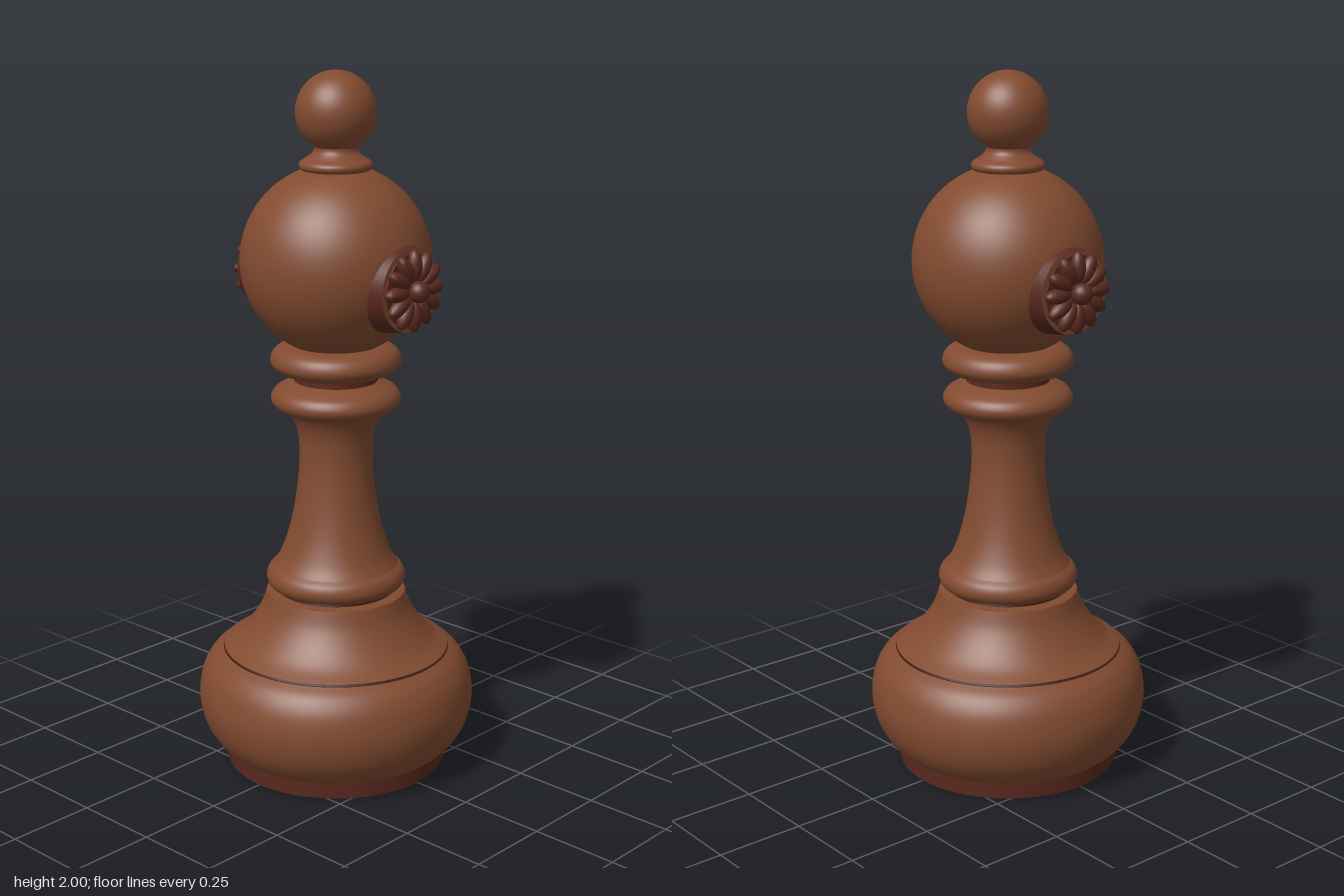
import * as THREE from 'three';

const mat = (name, color) => {
  const m = new THREE.MeshStandardMaterial({ color });
  m.name = name;
  return m;
};

export function createModel() {
  const wood = mat('brown wood', 0x824b30);
  const dark = mat('dark red wood', 0x59291e);
  const groove = mat('groove brown', 0x3c1c12);
  const group = new THREE.Group();

  const add = (parent, name, geometry, material) => {
    const mesh = new THREE.Mesh(geometry, material);
    mesh.name = name;
    parent.add(mesh);
    return mesh;
  };
  // Turned part: points are [radius, height], smoothed by a spline if asked
  const turned = (name, pts, material, smooth = true) => {
    let p = pts.map(([x, y]) => new THREE.Vector2(x, y));
    if (smooth) p = new THREE.SplineCurve(p).getPoints(pts.length * 5);
    p.forEach(v => { v.x = Math.max(v.x, 0); });
    return add(group, name, new THREE.LatheGeometry(p, 72), material);
  };

  // Foot and base
  add(group, 'foot', new THREE.CylinderGeometry(0.322, 0.32, 0.045, 72), dark).position.y = 0.0225;
  turned('baseBulge', [[0.315, 0.04], [0.355, 0.075], [0.387, 0.13], [0.4, 0.2],
    [0.389, 0.27], [0.362, 0.317], [0.328, 0.342]], wood);
  turned('baseGroove', [[0.328, 0.342], [0.318, 0.342], [0.318, 0.35], [0.326, 0.35]], groove, false);
  turned('baseShoulder', [[0.326, 0.349], [0.285, 0.375], [0.248, 0.415], [0.217, 0.465], [0.2, 0.515]], wood);
  turned('baseTop', [[0.2, 0.515], [0.165, 0.518]], wood, false);
  turned('lowerNeckGroove', [[0.17, 0.515], [0.165, 0.535]], groove, false);

  // Stem with its lower and upper rings
  turned('lowerRing', [[0.16, 0.525], [0.188, 0.533], [0.2, 0.555], [0.194, 0.58], [0.176, 0.597]], wood);
  turned('stem', [[0.178, 0.595], [0.158, 0.63], [0.137, 0.69], [0.119, 0.77], [0.107, 0.86],
    [0.104, 0.94], [0.112, 1.0], [0.132, 1.043], [0.155, 1.062]], wood);
  turned('stemRing', [[0.145, 1.056], [0.173, 1.066], [0.184, 1.088], [0.173, 1.112],
    [0.145, 1.128], [0.115, 1.14]], wood);
  turned('upperNeckGroove', [[0.118, 1.135], [0.118, 1.165]], dark, false);
  turned('headRing', [[0.115, 1.155], [0.155, 1.165], [0.178, 1.18], [0.185, 1.2],
    [0.174, 1.225], [0.145, 1.24], [0.1, 1.243]], wood);

  // Head, collar and ball finial
  add(group, 'head', new THREE.SphereGeometry(0.267, 64, 48), wood).position.y = 1.48;
  turned('collar', [[0.09, 1.728], [0.101, 1.738], [0.099, 1.752], [0.078, 1.766],
    [0.062, 1.782], [0.06, 1.8]], wood);
  add(group, 'finial', new THREE.SphereGeometry(0.112, 48, 32), wood).position.y = 1.888;

  // Flower rosette on the front and back of the head, built facing +z
  for (const side of [0, 1]) {
    const rosette = new THREE.Group();
    rosette.name = side ? 'backRosette' : 'frontRosette';
    const disc = add(rosette, 'rosetteMount',
      new THREE.CylinderGeometry(0.115, 0.127, 0.075, 48), [dark, wood, dark]);
    disc.rotation.x = Math.PI / 2;
    disc.position.z = 0.2375;
    const back = add(rosette, 'petalBed', new THREE.CylinderGeometry(0.102, 0.102, 0.008, 48), dark);
    back.rotation.x = Math.PI / 2;
    back.position.z = 0.277;
    for (let i = 0; i < 12; i++) {
      const a = (i / 12) * Math.PI * 2;
      const petal = add(rosette, 'petal', new THREE.SphereGeometry(1, 16, 12), dark);
      petal.scale.set(0.044, 0.021, 0.023);
      petal.position.set(Math.cos(a) * 0.069, Math.sin(a) * 0.069, 0.287);
      petal.rotation.z = a;
    }
    const button = add(rosette, 'rosetteButton', new THREE.SphereGeometry(0.03, 24, 16), dark);
    button.position.z = 0.305;
    rosette.position.y = 1.433;
    rosette.rotation.y = side * Math.PI;
    group.add(rosette);
  }
  return group;
}
